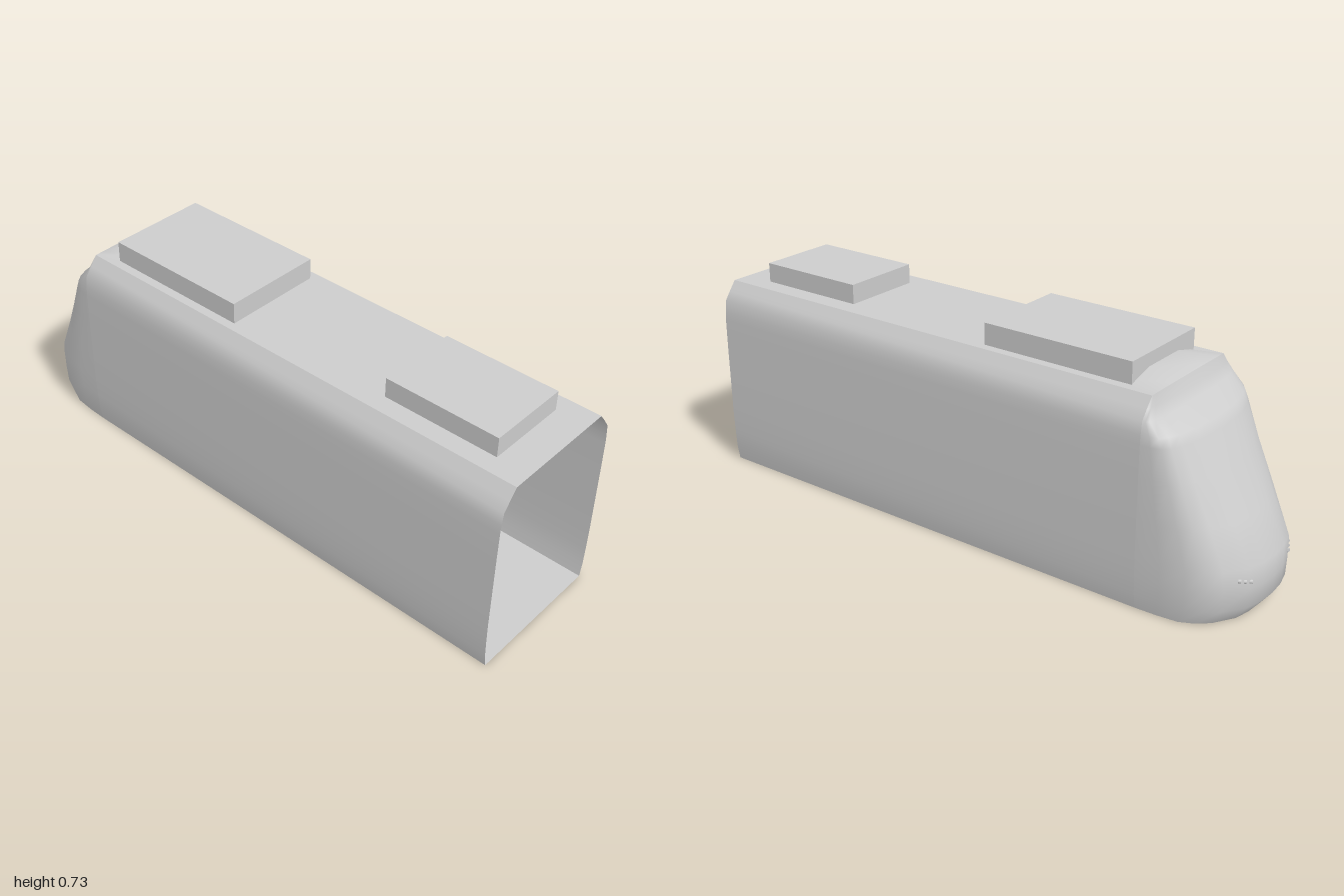
import * as THREE from 'three';

// Smooth surface through rows of points
function loft(rows) {
  const n = rows[0].length, index = [];
  for (let i = 0; i < rows.length - 1; i++) {
    for (let j = 0; j < n - 1; j++) {
      const a = i * n + j, b = a + 1, c = a + n, d = c + 1;
      index.push(a, b, d, a, d, c);
    }
  }
  const g = new THREE.BufferGeometry();
  g.setAttribute('position', new THREE.Float32BufferAttribute(rows.flat(2), 3));
  g.setIndex(index);
  g.computeVertexNormals();
  return g;
}

export function createModel() {
  const grey = new THREE.MeshStandardMaterial({ color: 0xcccccc, side: THREE.DoubleSide });
  grey.name = 'plain grey';
  const model = new THREE.Group();
  const add = (name, geometry, x = 0, y = 0, z = 0) => {
    const mesh = new THREE.Mesh(geometry, grey);
    mesh.name = name;
    mesh.position.set(x, y, z);
    model.add(mesh);
    return mesh;
  };

  const joint = -0.68, rear = 1, roofY = 0.662;
  // Each level: height, half width, foremost z of the nose
  const levels = [
    [0, 0.245, -0.96], [0.05, 0.253, -0.998], [0.11, 0.256, -1], [0.18, 0.258, -0.998],
    [0.3, 0.258, -0.933], [0.43, 0.258, -0.86], [0.53, 0.257, -0.804], [0.56, 0.255, -0.785],
    [0.6, 0.25, -0.715], [0.63, 0.228, -0.695], [roofY, 0.203, joint],
  ];

  // Car body: two curved walls, flat roof and floor, open at the rear
  for (const s of [1, -1]) {
    const at = z => levels.map(([y, w]) => [s * w, y, z]);
    add(s > 0 ? 'leftWall' : 'rightWall', loft(s > 0 ? [at(joint), at(rear)] : [at(rear), at(joint)]));
  }
  const flat = (w, y, up) => {
    const near = [[-w, y, rear], [w, y, rear]], far = [[-w, y, joint], [w, y, joint]];
    return loft(up ? [near, far] : [far, near]);
  };
  add('roof', flat(0.203, roofY, true));
  add('floor', flat(0.245, 0, false));

  // Nose: rounded plan outline, scaled at each level
  const half = [[1, 0], [0.99, 0.25], [0.96, 0.5], [0.87, 0.66], [0.74, 0.79], [0.47, 0.94], [0.24, 0.985]];
  const plan = [...half, [0, 1], ...half.map(([x, d]) => [-x, d]).reverse()];
  const row = ([y, w, f]) => plan.map(([x, d]) => [x * w, y, joint + d * (f - joint)]);
  add('nose', loft(levels.map(row)));
  add('noseFloor', loft([plan.map(([x]) => [x * 0.245, 0, joint]), row(levels[0])]));

  // Raised fairing where the nose runs onto the roof
  const fairing = [[joint, 0.2, 0.001], [-0.6, 0.175, 0.028], [-0.46, 0.172, 0.01], [-0.35, 0.165, -0.002]];
  add('noseFairing', loft(fairing.map(([z, w, h]) =>
    [[-w, 0], [-w * 0.85, 0.35], [-w * 0.45, 1], [w * 0.45, 1], [w * 0.85, 0.35], [w, 0]]
      .map(([x, k]) => [-x, roofY + h * k, z])).reverse()));

  // Roof equipment boxes
  add('frontRoofBox', new THREE.BoxGeometry(0.346, 0.073, 0.525), 0, 0.6965, -0.3325);
  add('rearRoofBox', new THREE.BoxGeometry(0.28, 0.068, 0.39), 0, 0.694, 0.695);

  // Three small lamps on each side of the nose
  for (const s of [1, -1]) {
    [[0.115, 0.136, -0.982], [0.132, 0.14, -0.972], [0.149, 0.146, -0.963]].forEach(([x, y, z], i) => {
      const lamp = add(`${s > 0 ? 'left' : 'right'}Lamp${i + 1}`, new THREE.CylinderGeometry(0.006, 0.006, 0.008, 10), s * x, y, z);
      lamp.rotation.set(Math.PI / 2, 0, -s * 0.5);
    });
  }
  return model;
}
